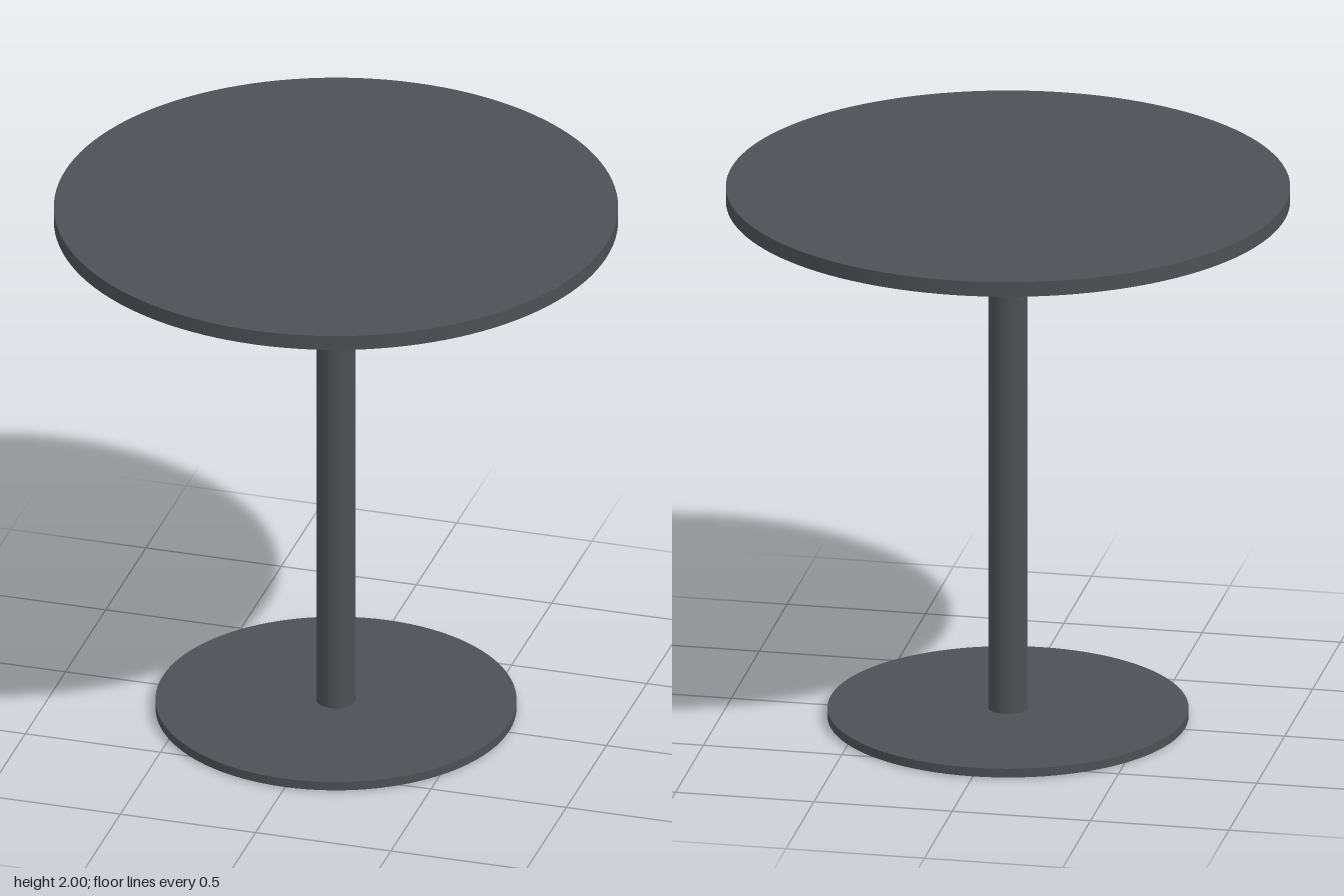
import * as THREE from 'three';

export function createModel() {
  const group = new THREE.Group();
  const darkGrey = new THREE.MeshStandardMaterial({ color: 0x4d5054 });
  darkGrey.name = 'darkGrey';

  // Upright round part from height y0 to y1
  function disc(name, radius, y0, y1, segments) {
    const mesh = new THREE.Mesh(
      new THREE.CylinderGeometry(radius, radius, y1 - y0, segments), darkGrey);
    mesh.name = name;
    mesh.position.y = (y0 + y1) / 2;
    group.add(mesh);
  }

  disc('tableTop', 1, 1.945, 2, 128);
  // The column passes through the base and stands just proud of its underside
  disc('column', 0.07, 0, 1.95, 48);
  disc('basePlate', 0.64, 0.004, 0.037, 96);

  return group;
}
